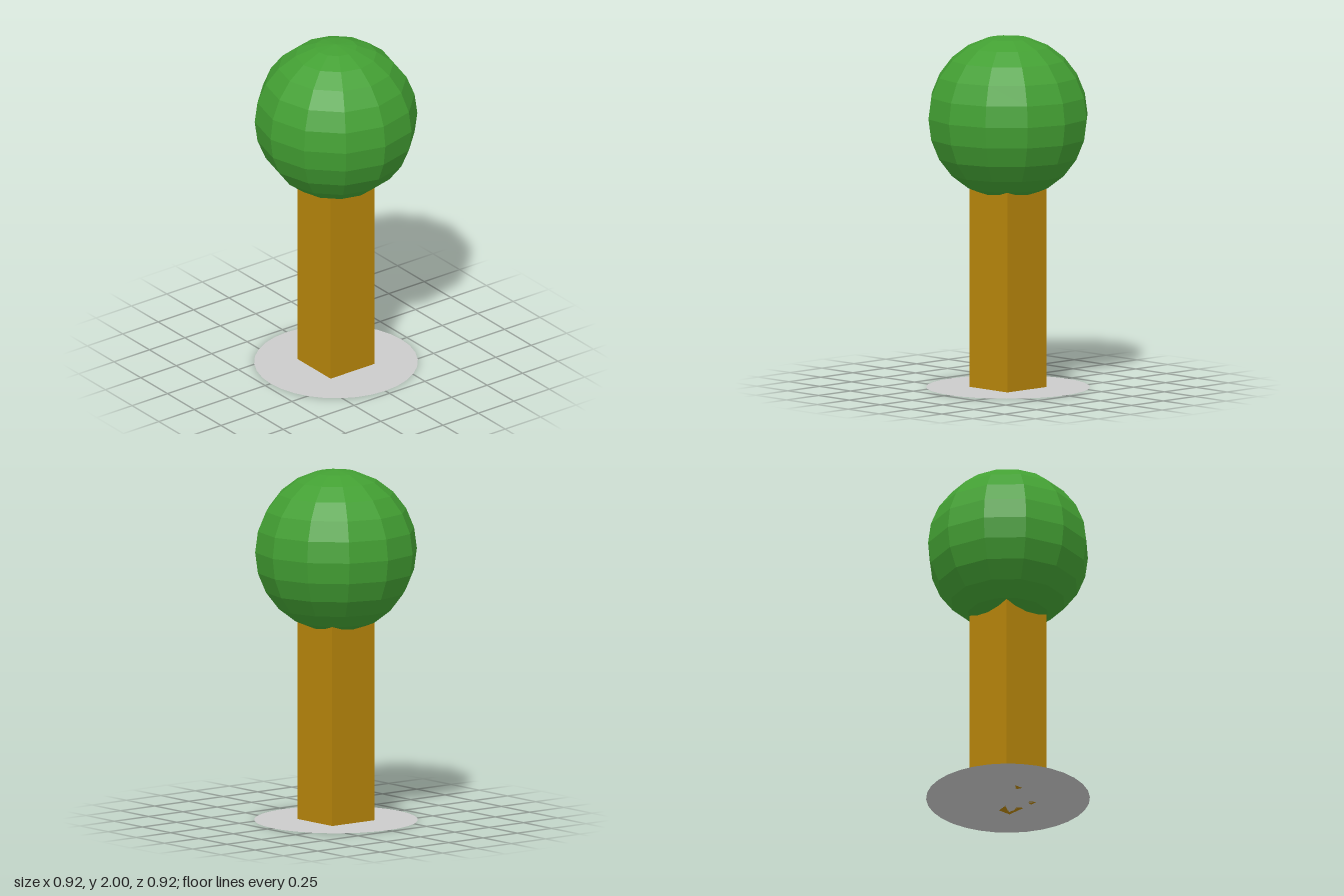
import * as THREE from 'three';

const U = 2 / 6.5; // trunk width; the tree is 6.5 trunk widths tall

export function createModel() {
  const group = new THREE.Group();

  const add = (name, geometry, options, y) => {
    const mesh = new THREE.Mesh(geometry, new THREE.MeshStandardMaterial(options));
    mesh.name = name;
    mesh.position.y = y;
    group.add(mesh);
    return mesh;
  };

  // Flat ground disc
  const base = add('base', new THREE.CircleGeometry(1.5 * U, 32),
    { color: 0xcccccc, side: THREE.DoubleSide }, 0);
  base.rotation.x = -Math.PI / 2;

  // Square trunk, its top buried in the foliage
  add('trunk', new THREE.BoxGeometry(U, 4 * U, U), { color: 0xb8860b }, 2 * U);

  // Faceted round foliage
  add('foliage', new THREE.SphereGeometry(1.5 * U, 12, 12),
    { color: 0x43a033, flatShading: true }, 5 * U);

  return group;
}
